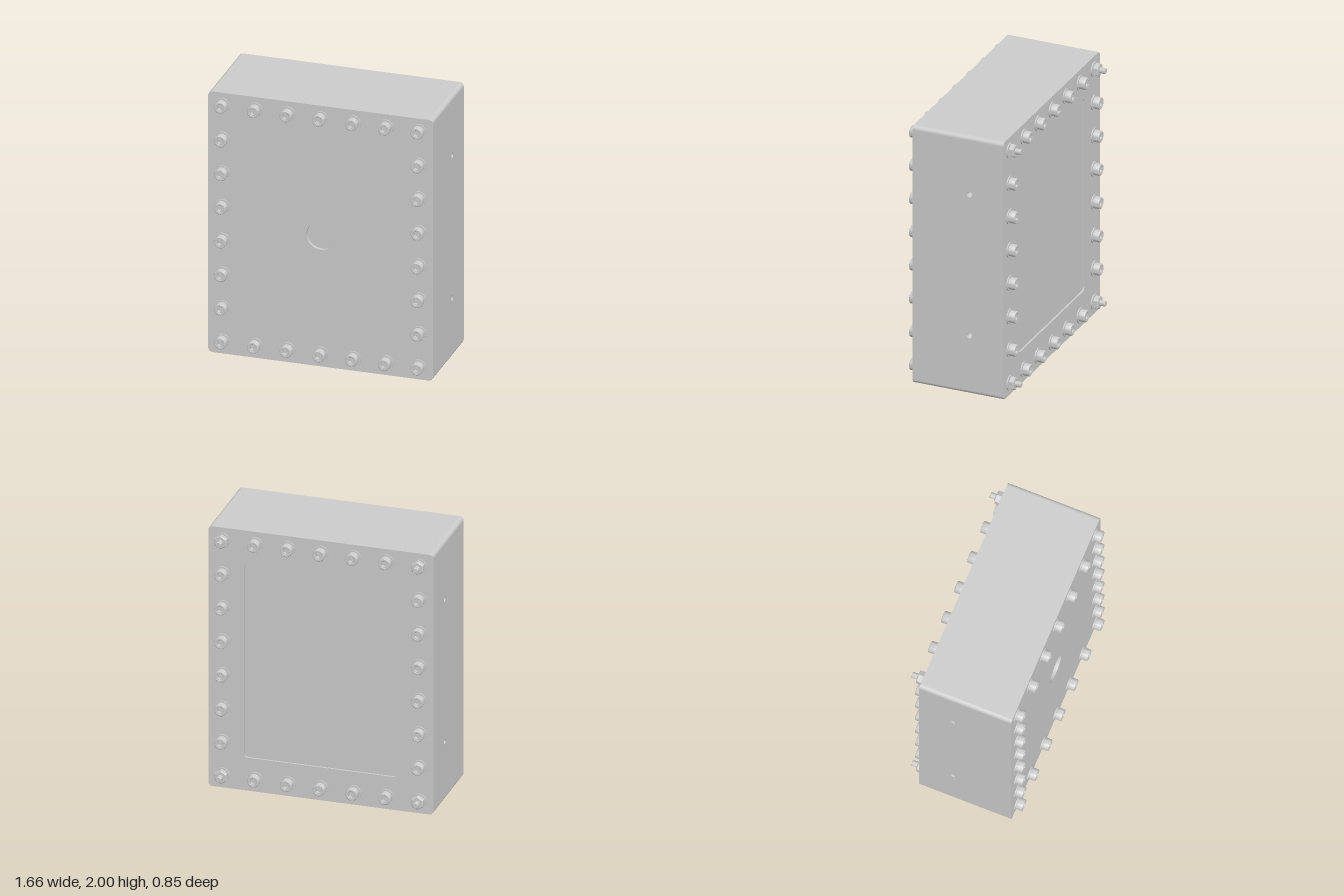
import * as THREE from 'three';
import { toCreasedNormals } from 'three/addons/utils/BufferGeometryUtils.js';

const W = 0.83, H = 2, FRONT = 0.367, BACK = -0.331, R = 0.03;
const WASHER = 0.009, HEAD = 0.057;
const grey = new THREE.MeshStandardMaterial({ color: 0xcccccc });

function add(parent, name, geometry, x = 0, y = 0, z = 0) {
  const m = new THREE.Mesh(geometry, grey);
  m.name = name;
  m.position.set(x, y, z);
  parent.add(m);
}

// Rounded rectangle, centred on the origin
function roundRect(w, h, r) {
  const s = new THREE.Shape();
  s.absarc(w - r, r - h, r, -Math.PI / 2, 0);
  s.absarc(w - r, h - r, r, 0, Math.PI / 2);
  s.absarc(r - w, h - r, r, Math.PI / 2, Math.PI);
  s.absarc(r - w, r - h, r, Math.PI, Math.PI * 1.5);
  return s.closePath();
}

function circle(x, y, r) {
  return new THREE.Shape().absarc(x, y, r, 0, Math.PI * 2);
}

// Wall swept along z over a run of 2D points; faces right of the run
function band(points, z0, z1) {
  const pos = [];
  for (let i = 0; i + 1 < points.length; i++) {
    const a = points[i], b = points[i + 1];
    pos.push(a.x, a.y, z0, b.x, b.y, z0, b.x, b.y, z1);
    pos.push(a.x, a.y, z0, b.x, b.y, z1, a.x, a.y, z1);
  }
  const g = new THREE.BufferGeometry();
  g.setAttribute('position', new THREE.Float32BufferAttribute(pos, 3));
  g.computeVertexNormals();
  return g;
}

// Flat face at z = 0 looking along +z, with blind pockets sunk into it
function face(name, outline, pockets) {
  const group = new THREE.Group();
  group.name = name;
  for (const { shape, depth } of pockets) {
    outline.holes.push(shape);
    add(group, 'pocketWall', band(shape.getPoints(24).reverse(), -depth, 0));
    add(group, 'pocketFloor', new THREE.ShapeGeometry(shape, 24), 0, 0, -depth);
  }
  add(group, 'panel', new THREE.ShapeGeometry(outline, 24));
  return group;
}

// Turned part along +z from [radius, z] points
function turned(points, sides) {
  const g = new THREE.LatheGeometry(points.map(([r, z]) => new THREE.Vector2(r, z)), sides);
  return toCreasedNormals(g.rotateX(Math.PI / 2), 0.5);
}

function buildBody() {
  const body = new THREE.Group();
  body.name = 'housing';
  body.position.y = H / 2;

  // Front face with the round port, back face with the shallow recess
  const front = face('frontFace', roundRect(W, H / 2, R), [{ shape: circle(0, 0, 0.105), depth: 0.027 }]);
  front.position.z = FRONT;
  const back = face('backFace', roundRect(W, H / 2, R), [{ shape: roundRect(0.565, 0.747, 0.025), depth: 0.014 }]);
  back.position.z = BACK;
  back.rotation.y = Math.PI;
  body.add(front, back);

  // Side faces, each with two small drilled holes
  for (const s of [1, -1]) {
    const a = s > 0 ? -FRONT : BACK, b = s > 0 ? -BACK : FRONT, h = H / 2 - R;
    const outline = new THREE.Shape([[a, -h], [b, -h], [b, h], [a, h]].map(p => new THREE.Vector2(...p)));
    const holes = [-0.546, 0.55].map(y => ({ shape: circle(s * 0.07, y, 0.0205), depth: 0.12 }));
    const side = face(s > 0 ? 'leftFace' : 'rightFace', outline, holes);
    side.position.x = s * W;
    side.rotation.y = s * Math.PI / 2;
    body.add(side);
  }

  // Top and bottom with their rounded edges
  for (const s of [1, -1]) {
    const run = new THREE.Path();
    const start = s > 0 ? 0 : Math.PI;
    run.absarc(s * (W - R), s * (H / 2 - R), R, start, start + Math.PI / 2);
    run.absarc(-s * (W - R), s * (H / 2 - R), R, start + Math.PI / 2, start + Math.PI);
    add(body, s > 0 ? 'top' : 'bottom', band(run.getPoints(12), BACK, FRONT));
  }
  return body;
}

// Shared fastener geometries
function fastenerParts() {
  const hex = [];
  for (let i = 0; i < 6; i++) {
    const a = Math.PI / 2 + i * Math.PI / 3;
    hex.push(new THREE.Vector2(0.0215 * Math.cos(a), 0.0215 * Math.sin(a)));
  }
  const rim = circle(0, 0, 0.026);
  rim.holes.push(new THREE.Path(hex).closePath());
  const shank = length => turned([[0, -length], [0.018, -length], [0.021, 0.003 - length], [0.021, WASHER]], 20);
  return {
    washer: turned([[0.056, 0], [0.056, WASHER], [0.02, WASHER]], 32),
    // Round head with softened rim and a slight countersink above the hex socket
    head: turned([[0.044, WASHER], [0.044, 0.051], [0.0425, 0.055], [0.039, HEAD],
      [0.028, HEAD], [0.026, 0.055]], 28),
    socket: new THREE.ExtrudeGeometry(rim, { depth: 0.025, curveSegments: 14, bevelEnabled: false }),
    socketFloor: new THREE.CircleGeometry(0.026, 12),
    nut: turned([[0.02, WASHER], [0.044, WASHER], [0.051, 0.013], [0.051, 0.045],
      [0.044, 0.049], [0.02, 0.049]], 6),
    shortShank: shank(0.14),
    longShank: shank(FRONT + 0.424),
  };
}

function capScrew(p, shank) {
  const g = new THREE.Group();
  g.name = 'capScrew';
  add(g, 'washer', p.washer);
  add(g, 'screwHead', p.head);
  add(g, 'hexSocket', p.socket, 0, 0, 0.03);
  add(g, 'socketFloor', p.socketFloor, 0, 0, 0.031);
  add(g, 'shank', shank);
  return g;
}

function nutAndWasher(p) {
  const g = new THREE.Group();
  g.name = 'nutAndWasher';
  add(g, 'washer', p.washer);
  add(g, 'nut', p.nut);
  return g;
}

export function createModel() {
  const model = new THREE.Group();
  model.name = 'boltedEnclosure';
  model.add(buildBody());

  // Screws round the rim of both faces; the corner ones run through to nuts
  const parts = fastenerParts();
  const front = new THREE.Group(), back = new THREE.Group();
  front.name = 'frontFasteners';
  back.name = 'backFasteners';
  front.position.z = FRONT;
  back.position.z = BACK;
  back.rotation.y = Math.PI;
  for (let i = 0; i < 7; i++) {
    for (let j = 0; j < 8; j++) {
      const edgeX = i === 0 || i === 6, edgeY = j === 0 || j === 7;
      if (!edgeX && !edgeY) continue;
      const corner = edgeX && edgeY;
      const f = capScrew(parts, corner ? parts.longShank : parts.shortShank);
      const b = corner ? nutAndWasher(parts) : capScrew(parts, parts.shortShank);
      for (const item of [f, b]) item.position.set((i - 3) * 0.242, 0.096 + j * 0.2583, 0);
      front.add(f);
      back.add(b);
    }
  }
  model.add(front, back);
  return model;
}
